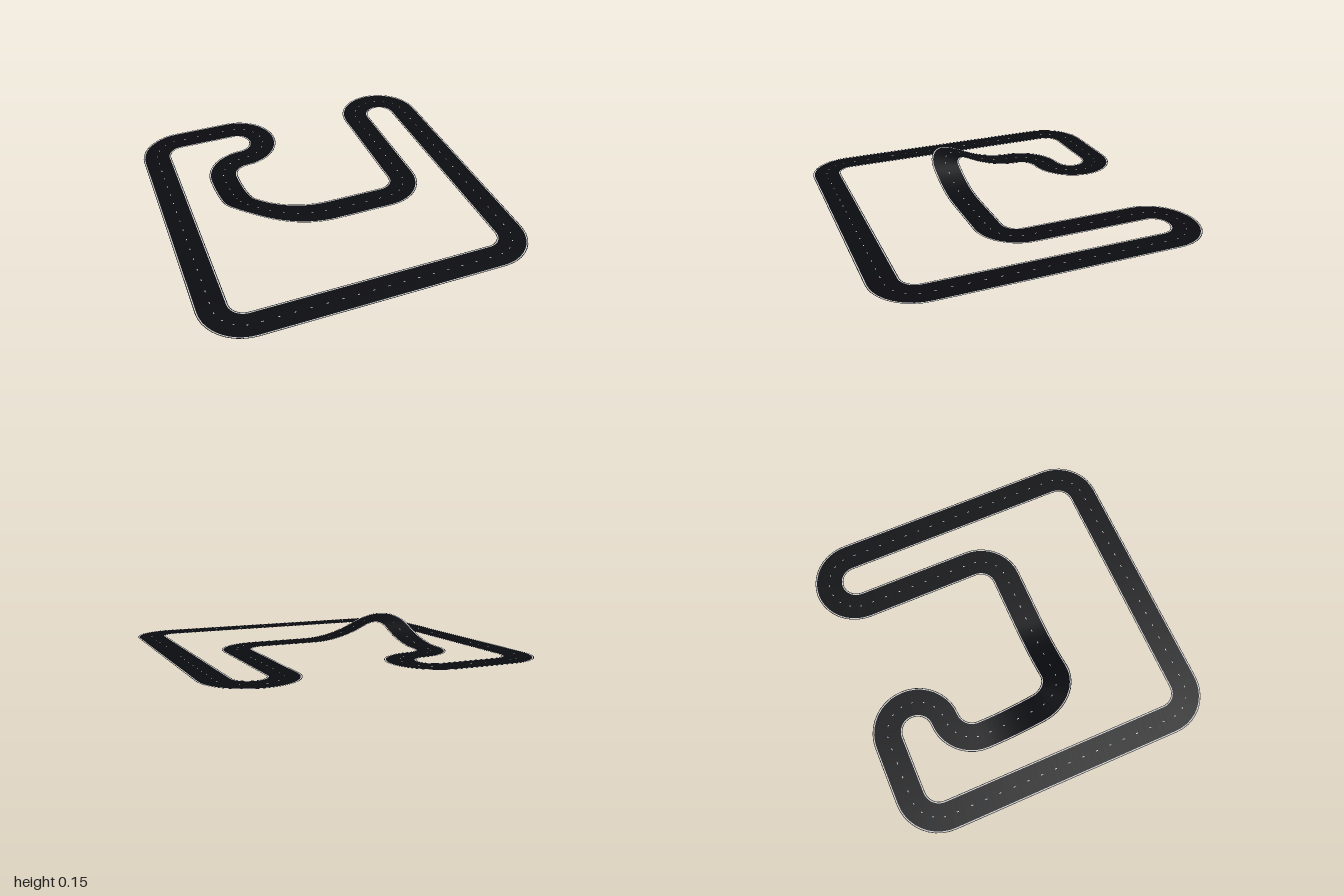
import * as THREE from 'three';

const TILE = 4 / 11;          // the course is laid out on a 6 x 6 grid of tiles
const HALF = TILE / 4;        // half the road width
const STEPS = 10;             // cross-sections per tile
const RAMP = 0.09;            // height where the ramps meet the raised corner
const BANK = 0.22;            // extra height of the raised corner, per unit of radius

// Turning points of the closed course, in grid cells (column, row)
const TURNS = [[0, 0], [2, 0], [2, 1], [1, 1], [1, 3], [4, 3], [4, 0], [5, 0], [5, 5], [0, 5]];

function material(color) {
  return new THREE.MeshStandardMaterial({ color, side: THREE.DoubleSide });
}

// Walk the turning points and list every tile with its entry and exit direction
function layTiles() {
  const cells = [];
  TURNS.forEach(([x, z], i) => {
    const [nx, nz] = TURNS[(i + 1) % TURNS.length];
    const dx = Math.sign(nx - x), dz = Math.sign(nz - z);
    for (let cx = x, cz = z; cx !== nx || cz !== nz; cx += dx, cz += dz) {
      cells.push({ x: cx, z: cz, exit: new THREE.Vector2(dx, dz) });
    }
  });
  return cells.map((c, i) => ({
    ...c,
    entry: cells[(i + cells.length - 1) % cells.length].exit,
    centre: new THREE.Vector2((c.x - 2.5) * TILE, (c.z - 2.5) * TILE),
  }));
}

// Point on a tile at t (0..1 along it), offset to the right of the centre line
function roadPoint(tile, t, offset, lift) {
  const { entry, exit, centre } = tile;
  const p = centre.clone(), dir = entry.clone();
  let y = 0;
  if (entry.equals(exit)) {
    p.addScaledVector(entry, (t - 0.5) * TILE);
    if (tile.x === 1 && tile.z === 2) y = RAMP * t * t;
    if (tile.x === 2 && tile.z === 3) y = RAMP * (1 - t) * (1 - t);
    p.x -= dir.y * offset;
    p.y += dir.x * offset;
  } else {
    const a = t * Math.PI / 2;
    const pivot = centre.clone().addScaledVector(exit, TILE / 2).addScaledVector(entry, -TILE / 2);
    p.copy(pivot).addScaledVector(entry, Math.sin(a) * TILE / 2).addScaledVector(exit, -Math.cos(a) * TILE / 2);
    dir.multiplyScalar(Math.cos(a)).addScaledVector(exit, Math.sin(a));
    p.x -= dir.y * offset;
    p.y += dir.x * offset;
    if (tile.x === 1 && tile.z === 3) y = RAMP + BANK * p.distanceTo(pivot) * Math.sin(2 * a);
  }
  return [p.x, y + lift, p.y];
}

// Ribbon between two offsets through a list of [tile, t] stations
function ribbon(stations, from, to, lift = 0) {
  const pos = [], index = [];
  stations.forEach(([tile, t], i) => {
    pos.push(...roadPoint(tile, t, from, lift), ...roadPoint(tile, t, to, lift));
    if (i > 0) {
      const k = 2 * i - 2;
      index.push(k, k + 1, k + 2, k + 1, k + 3, k + 2);
    }
  });
  const g = new THREE.BufferGeometry();
  g.setAttribute('position', new THREE.Float32BufferAttribute(pos, 3));
  g.setIndex(index);
  g.computeVertexNormals();
  return g;
}

export function createModel() {
  const model = new THREE.Group();
  const tiles = layTiles();
  const asphalt = material(0x0b0c10), paint = material(0xcccccc);
  const add = (name, geometry, mat, parent = model) => {
    const mesh = new THREE.Mesh(geometry, mat);
    mesh.name = name;
    parent.add(mesh);
  };

  // Stations around the whole loop, closed at the start
  const loop = [];
  for (const tile of tiles) {
    for (let i = 0; i < STEPS; i++) loop.push([tile, i / STEPS]);
  }
  loop.push([tiles[tiles.length - 1], 1]);

  // Road surface, painted edge lines and dark shoulders
  const line = HALF - 0.01, shoulder = HALF - 0.004;
  add('roadSurface', ribbon(loop, -line, line), asphalt);
  add('leftEdgeLine', ribbon(loop, -shoulder, -line), paint);
  add('rightEdgeLine', ribbon(loop, line, shoulder), paint);
  add('leftShoulder', ribbon(loop, -HALF, -shoulder), asphalt);
  add('rightShoulder', ribbon(loop, shoulder, HALF), asphalt);

  // Short centre dashes, four per tile
  const dashes = new THREE.Group();
  dashes.name = 'centreDashes';
  model.add(dashes);
  for (const tile of tiles) {
    for (let i = 0; i < 4; i++) {
      const t = (i + 0.5) / 4;
      add('centreDash', ribbon([[tile, t - 0.018], [tile, t + 0.018]], -0.0025, 0.0025, 0.001), paint, dashes);
    }
  }
  return model;
}
